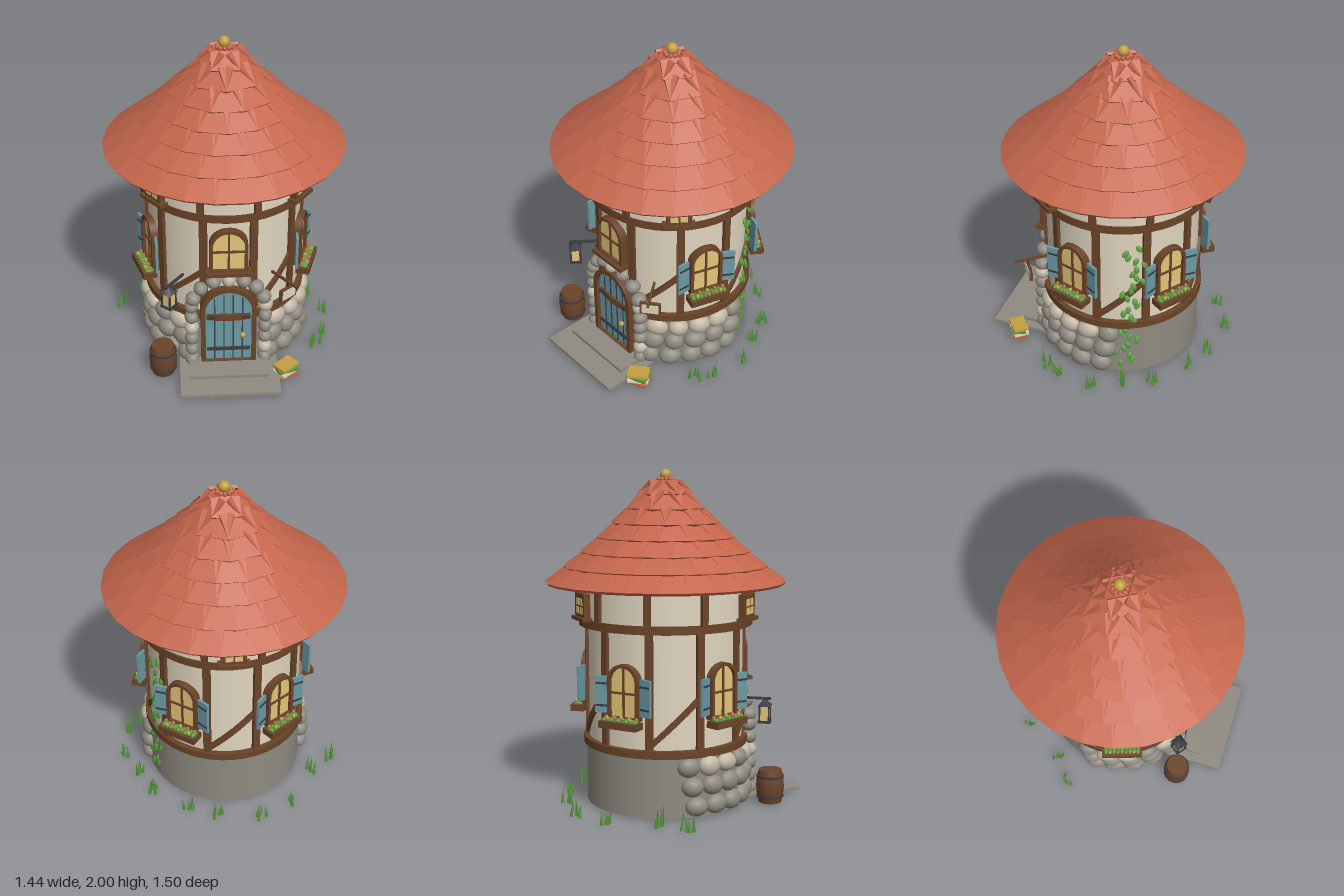
import * as THREE from 'three';
import { toCreasedNormals } from 'three/addons/utils/BufferGeometryUtils.js';

const mat = (name, color) => {
  const m = new THREE.MeshStandardMaterial({ color });
  m.name = name;
  return m;
};
const M = {
  roof: mat('terracotta', 0xc4664c), plaster: mat('plaster', 0xe0d5be), timber: mat('timber', 0x6b4429),
  stone: mat('grey stone', 0x8f8b81), pale: mat('pale stone', 0xc2b7a5), blue: mat('blue paint', 0x6c9ba6),
  glass: mat('warm glass', 0xe4c679), green: mat('leaf green', 0x569a3c), gold: mat('brass', 0xc4a043),
  iron: mat('dark iron', 0x3c3d42),
};
const rad = THREE.MathUtils.degToRad;
let seed = 7;
const rnd = () => (seed = (seed * 16807) % 2147483647) / 2147483647;

function add(parent, name, geo, material, x = 0, y = 0, z = 0) {
  const m = new THREE.Mesh(geo, material);
  m.name = name;
  m.position.set(x, y, z);
  parent.add(m);
  return m;
}
const box = (w, h, d) => new THREE.BoxGeometry(w, h, d);
const cyl = (r1, r2, h, n = 48) => new THREE.CylinderGeometry(r1, r2, h, n);
const ball = new THREE.SphereGeometry(1, 14, 10);

// Group on the tower wall, facing outwards; angle runs from the front (+z) towards +x
function onWall(parent, name, deg, r, y) {
  const g = new THREE.Group();
  g.name = name;
  const a = rad(deg);
  g.position.set(Math.sin(a) * r, y, Math.cos(a) * r);
  g.rotation.y = a;
  parent.add(g);
  return g;
}
function blob(parent, name, material, x, y, z, sx, sy, sz) {
  const m = add(parent, name, ball, material, x, y, z);
  m.scale.set(sx, sy, sz);
  return m;
}
// Round-topped outline standing on y0
function arch(w, h, y0 = 0, C = THREE.Shape) {
  const s = new C();
  s.moveTo(-w / 2, y0);
  s.lineTo(w / 2, y0);
  s.lineTo(w / 2, h - w / 2);
  s.absarc(0, h - w / 2, w / 2, 0, Math.PI, false);
  s.lineTo(-w / 2, y0);
  return s;
}
const slab = (shape, depth) => new THREE.ExtrudeGeometry(shape, { depth, bevelEnabled: false, curveSegments: 14 });
function archFrame(w, h, t, depth) {
  const s = arch(w, h);
  s.holes.push(arch(w - 2 * t, h - t, t, THREE.Path));
  return slab(s, depth);
}
// Sloping beam bent round the wall
function brace(a0, a1, y0, y1, r) {
  const da = rad(a1 - a0), g = new THREE.BoxGeometry(da, 0.045, 0.03, 8, 1, 1), p = g.attributes.position;
  for (let i = 0; i < p.count; i++) {
    const x = p.getX(i), a = rad((a0 + a1) / 2) + x, R = r + p.getZ(i);
    p.setXYZ(i, Math.sin(a) * R, p.getY(i) + (y0 + y1) / 2 + (x / da) * (y1 - y0), Math.cos(a) * R);
  }
  return toCreasedNormals(g, 0.6);
}

function addWalls(t) {
  add(t, 'foundation', cyl(0.48, 0.48, 0.36), M.stone, 0, 0.19, 0);
  add(t, 'lowerWall', cyl(0.465, 0.465, 0.74), M.plaster, 0, 0.74, 0);
  add(t, 'upperWall', cyl(0.515, 0.515, 0.21), M.plaster, 0, 1.23, 0);
  add(t, 'lowerRingBeam', cyl(0.498, 0.498, 0.045), M.timber, 0, 0.388, 0);
  add(t, 'upperRingBeam', cyl(0.522, 0.522, 0.05), M.timber, 0, 1.11, 0);
  for (let i = 0; i < 10; i++) {
    const a = 18 + i * 36;
    add(onWall(t, 'post', a, 0.468, 0.745), 'lowerPost', box(0.045, 0.7, 0.035), M.timber);
    add(onWall(t, 'post', a, 0.518, 1.23), 'upperPost', box(0.04, 0.2, 0.035), M.timber);
    if (i % 2 === 0) add(t, 'brace', brace(a, a + 36, 0.43, 0.71, 0.468), M.timber);
  }
  // Rubble stones either side of the door
  for (const s of [-1, 1]) for (let row = 0; row < 3; row++) for (let i = 0; i < 5; i++) {
    const a = s * (31 + i * 15.5 + row * 3), g = onWall(t, 'rubble', a, 0.485, 0.075 + row * 0.118);
    blob(g, 'rubbleStone', row === 2 && i < 4 && !(s < 0 && i === 1) ? M.pale : M.stone,
      0, 0, 0, 0.062 + rnd() * 0.012, 0.056 + rnd() * 0.006, 0.045 + rnd() * 0.012).rotation.z = (rnd() - 0.5) * 0.5;
  }
}

function addRoof(t) {
  const rows = [[0.71, 1.335, 26], [0.6, 1.425, 22], [0.495, 1.51, 18], [0.4, 1.595, 15],
    [0.31, 1.68, 11], [0.22, 1.765, 8], [0.14, 1.85, 6], [0.06, 1.935]];
  const pts = [[0, 1.33], ...rows.map(([r, y]) => [r - 0.02, y - 0.004]), [0, 1.96]];
  add(t, 'roofCore', toCreasedNormals(new THREE.LatheGeometry(pts.map((p) => new THREE.Vector2(...p)), 40), 0.6), M.roof);
  for (let k = 0; k < 7; k++) {
    const [r, y, n] = rows[k], dr = r - rows[k + 1][0], dy = rows[k + 1][1] - y;
    const a = Math.atan2(dy, dr) * 0.92, L = Math.hypot(dr, dy) * (k === 6 ? 1 : 1.3);
    const tile = box(2 * r * Math.tan(Math.PI / n), 0.018, L);
    for (let i = 0; i < n; i++) {
      const g = onWall(t, 'roofTile', (i + (k % 2) / 2) * 360 / n, r - Math.cos(a) * L / 2, y + Math.sin(a) * L / 2);
      add(g, 'tile', tile, M.roof).rotation.x = a;
    }
  }
  for (let i = 0; i < 10; i++) blob(onWall(t, 'cap', i * 36, 0.04, 1.94), 'capTile', M.roof, 0, 0, 0, 0.012, 0.014, 0.014);
  blob(t, 'finial', M.gold, 0, 1.967, 0, 0.034, 0.033, 0.034);
}

function archWindow(t, deg, y, w, h) {
  const g = onWall(t, 'archedWindow', deg, 0.45, y);
  add(g, 'glass', slab(arch(w - 0.02, h - 0.01), 0.035), M.glass);
  add(g, 'frame', archFrame(w, h, 0.02, 0.055), M.timber);
  add(g, 'mullion', box(0.012, h - 0.02, 0.012), M.timber, 0, h / 2, 0.038);
  add(g, 'crossbar', box(w - 0.02, 0.012, 0.012), M.timber, 0, h * 0.48, 0.038);
  return g;
}

function addWindows(t) {
  const front = archWindow(t, 0, 0.725, 0.225, 0.295);
  add(front, 'sill', box(0.265, 0.022, 0.08), M.timber, 0, 0, 0.04);
  for (const deg of [72, 144, 216, 288]) {
    const g = archWindow(t, deg, 0.58, 0.205, 0.325);
    for (const s of [-1, 1]) {
      const sh = add(g, 'shutter', box(0.078, 0.215, 0.016), M.blue, s * 0.146, 0.14, 0.04);
      sh.rotation.y = -s * 0.25;
      for (const y of [-0.065, 0.065]) add(sh, 'shutterBatten', box(0.068, 0.012, 0.008), M.iron, 0, y, 0.008);
    }
    add(g, 'flowerBox', box(0.25, 0.04, 0.085), M.timber, 0, -0.02, 0.075);
    for (let i = 0; i < 9; i++) {
      const x = -0.1 + i * 0.025;
      blob(g, 'boxLeaf', M.green, x, 0.004, 0.075, 0.015, 0.014, 0.03);
      blob(g, 'flower', i % 3 === 1 ? M.gold : M.roof, x, 0.018, 0.075 + (i % 2 ? 0.018 : -0.01), 0.011, 0.011, 0.011);
    }
  }
  // Small square windows under the eaves
  for (const deg of [52, 180, 308]) {
    const g = onWall(t, 'atticWindow', deg, 0.53, 1.215);
    add(g, 'frame', box(0.145, 0.145, 0.04), M.timber);
    for (const x of [-0.027, 0.027]) for (const y of [-0.025, 0.025])
      add(g, 'pane', box(0.043, 0.04, 0.006), M.glass, x, y, 0.02);
    add(g, 'sill', box(0.185, 0.022, 0.06), M.timber, 0, -0.075, 0.005);
  }
}

function addDoor(t) {
  const g = new THREE.Group();
  g.name = 'door';
  t.add(g);
  add(g, 'doorFrame', archFrame(0.335, 0.575, 0.028, 0.09), M.timber, 0, 0.035, 0.415);
  add(g, 'doorLeaf', slab(arch(0.29, 0.55), 0.065), M.blue, 0, 0.04, 0.415);
  for (const x of [-0.084, -0.028, 0.028, 0.084])
    add(g, 'plankGap', box(0.008, 0.5 - Math.abs(x) * 0.4, 0.006), M.iron, x, 0.31 - Math.abs(x) * 0.2, 0.48);
  for (const y of [0.145, 0.385]) add(g, 'strap', box(0.265, 0.02, 0.012), M.iron, 0, y, 0.485);
  blob(g, 'doorKnob', M.gold, 0.085, 0.255, 0.497, 0.017, 0.017, 0.017);
  // Stone surround: two columns and an arch
  const spots = [];
  for (const s of [-1, 1]) for (let i = 0; i < 6; i++) spots.push([s * 0.222, 0.06 + i * 0.08]);
  for (let i = 0; i < 7; i++) {
    const a = rad(18 + i * 24);
    spots.push([Math.cos(a) * 0.222, 0.45 + Math.sin(a) * 0.215]);
  }
  spots.forEach(([x, y], i) => blob(g, 'surroundStone', i % 4 === 3 ? M.pale : M.stone,
    x, y, 0.48 - Math.abs(x) * 0.1, 0.041 + rnd() * 0.006, 0.041 + rnd() * 0.004, 0.05));
}

function addYard(root) {
  add(root, 'lowerStep', box(0.6, 0.02, 0.36), M.stone, 0, 0.03, 0.56);
  add(root, 'upperStep', box(0.48, 0.022, 0.25), M.stone, 0, 0.05, 0.475);
  // Barrel
  const barrel = new THREE.Group();
  barrel.name = 'barrel';
  barrel.position.set(-0.4, 0.013, 0.47);
  root.add(barrel);
  const prof = [[0, 0], [0.068, 0], [0.08, 0.05], [0.084, 0.1], [0.08, 0.15], [0.068, 0.2], [0, 0.2]];
  add(barrel, 'barrelBody', toCreasedNormals(new THREE.LatheGeometry(prof.map((p) => new THREE.Vector2(...p)), 20), 0.6), M.timber);
  for (const y of [0.04, 0.16]) add(barrel, 'barrelHoop', cyl(0.082, 0.082, 0.014, 20), M.iron, 0, y, 0);
  // Stack of books
  [M.roof, M.plaster, M.green, M.gold].forEach((m, i) => {
    add(root, 'book', box(0.13, 0.018, 0.095), m, 0.345, 0.027 + i * 0.019, 0.545).rotation.y = 0.5 + (i % 2 ? 0.2 : -0.15);
  });
  // Lantern on its bracket
  const lamp = onWall(root, 'lantern', -38, 0.575, 0);
  add(lamp, 'lanternBracket', box(0.014, 0.014, 0.19), M.iron, 0, 0.64, -0.06);
  add(lamp, 'lanternGlass', box(0.055, 0.085, 0.055), M.glass, 0, 0.55, 0);
  for (const x of [-0.028, 0.028]) for (const z of [-0.028, 0.028])
    add(lamp, 'lanternBar', box(0.01, 0.09, 0.01), M.iron, x, 0.55, z);
  add(lamp, 'lanternBase', box(0.075, 0.014, 0.075), M.iron, 0, 0.5, 0);
  add(lamp, 'lanternCap', cyl(0.01, 0.055, 0.04, 4), M.iron, 0, 0.615, 0).rotation.y = Math.PI / 4;
  // Hanging sign
  const sign = onWall(root, 'sign', 38, 0.57, 0);
  add(sign, 'signBracket', box(0.014, 0.014, 0.22), M.timber, 0, 0.64, -0.03);
  add(sign, 'signHanger', box(0.008, 0.05, 0.008), M.iron, 0, 0.615, 0);
  add(sign, 'signFrame', box(0.125, 0.085, 0.018), M.timber, 0, 0.56, 0);
  for (const z of [-0.01, 0.01]) add(sign, 'signFace', box(0.1, 0.062, 0.006), M.plaster, 0, 0.56, z);
  // Grass tufts
  const tufts = [[0.56, 0.27], [0.62, 0.18], [0.64, -0.07], [0.55, -0.24], [0.48, -0.4], [0.28, -0.58],
    [0.1, -0.64], [-0.17, -0.7], [-0.35, -0.58], [-0.53, -0.32], [-0.66, -0.2]];
  const blade = new THREE.ConeGeometry(0.011, 1, 5);
  for (const [x, z] of tufts) for (let i = 0; i < 4; i++) {
    const h = 0.08 + rnd() * 0.05;
    const b = add(root, 'grassBlade', blade, M.green, x + (rnd() - 0.5) * 0.06, h / 2 + 0.004, z + (rnd() - 0.5) * 0.06);
    b.scale.y = h;
    b.rotation.set((rnd() - 0.5) * 0.3, 0, (rnd() - 0.5) * 0.3);
  }
}

function addIvy(t) {
  for (let i = 0; i < 30; i++) {
    const y = 0.08 + i * 0.03, a = 108 + y * 12 + Math.sin(i * 1.3) * 5 + (rnd() - 0.5) * 8;
    const leaf = blob(onWall(t, 'ivy', a, 0.487, y), 'ivyLeaf', M.green, 0, 0, 0, 0.016, 0.025, 0.008);
    leaf.rotation.set(-0.3, 0, (rnd() - 0.5) * 1.4);
  }
}

export function createModel() {
  const root = new THREE.Group();
  root.name = 'cottageTower';
  const tower = new THREE.Group();
  tower.name = 'tower';
  tower.position.z = -0.04;
  root.add(tower);
  addWalls(tower);
  addRoof(tower);
  addWindows(tower);
  addDoor(tower);
  addIvy(tower);
  addYard(root);
  return root;
}
